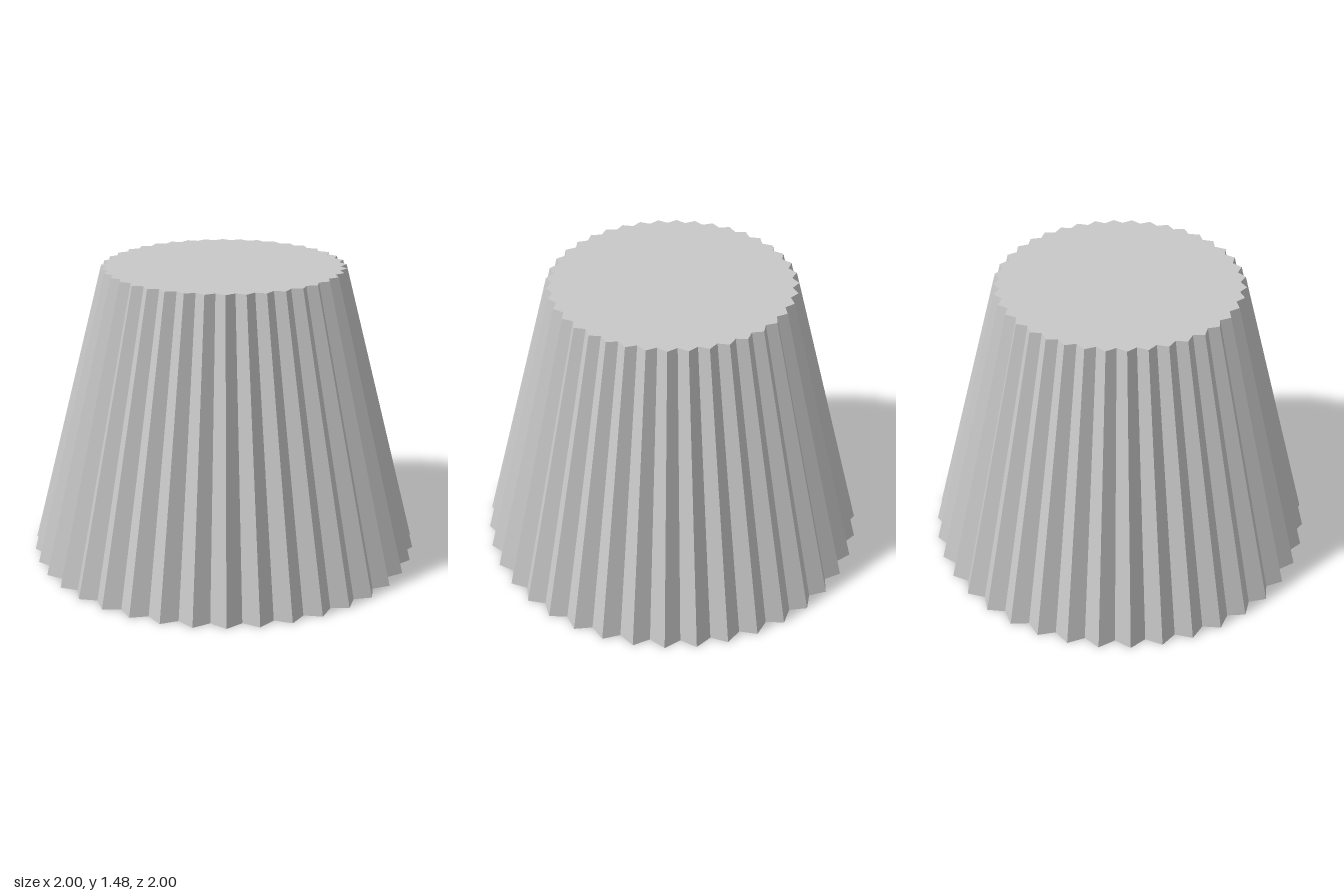
import * as THREE from 'three';

export function createModel() {
  const group = new THREE.Group();
  group.name = 'flutedCone';
  const grey = new THREE.MeshStandardMaterial({ color: 0xc8c8c8, flatShading: true });
  grey.name = 'grey';

  // Closed tapered body with 40 pleats: ridges and grooves alternate around it
  const pleats = 40, height = 1.48, grooveDepth = 0.95;
  const geometry = new THREE.CylinderGeometry(0.61, 1, height, pleats * 2);
  geometry.translate(0, height / 2, 0);

  // Pull every second corner inwards to form the grooves
  const pos = geometry.attributes.position;
  for (let i = 0; i < pos.count; i++) {
    const x = pos.getX(i), z = pos.getZ(i);
    const step = Math.round(Math.atan2(x, z) / (Math.PI / pleats));
    if (step % 2 !== 0) {
      pos.setX(i, x * grooveDepth);
      pos.setZ(i, z * grooveDepth);
    }
  }
  const flat = geometry.toNonIndexed();
  flat.computeVertexNormals();

  const body = new THREE.Mesh(flat, grey);
  body.name = 'pleatedBody';
  group.add(body);
  return group;
}
